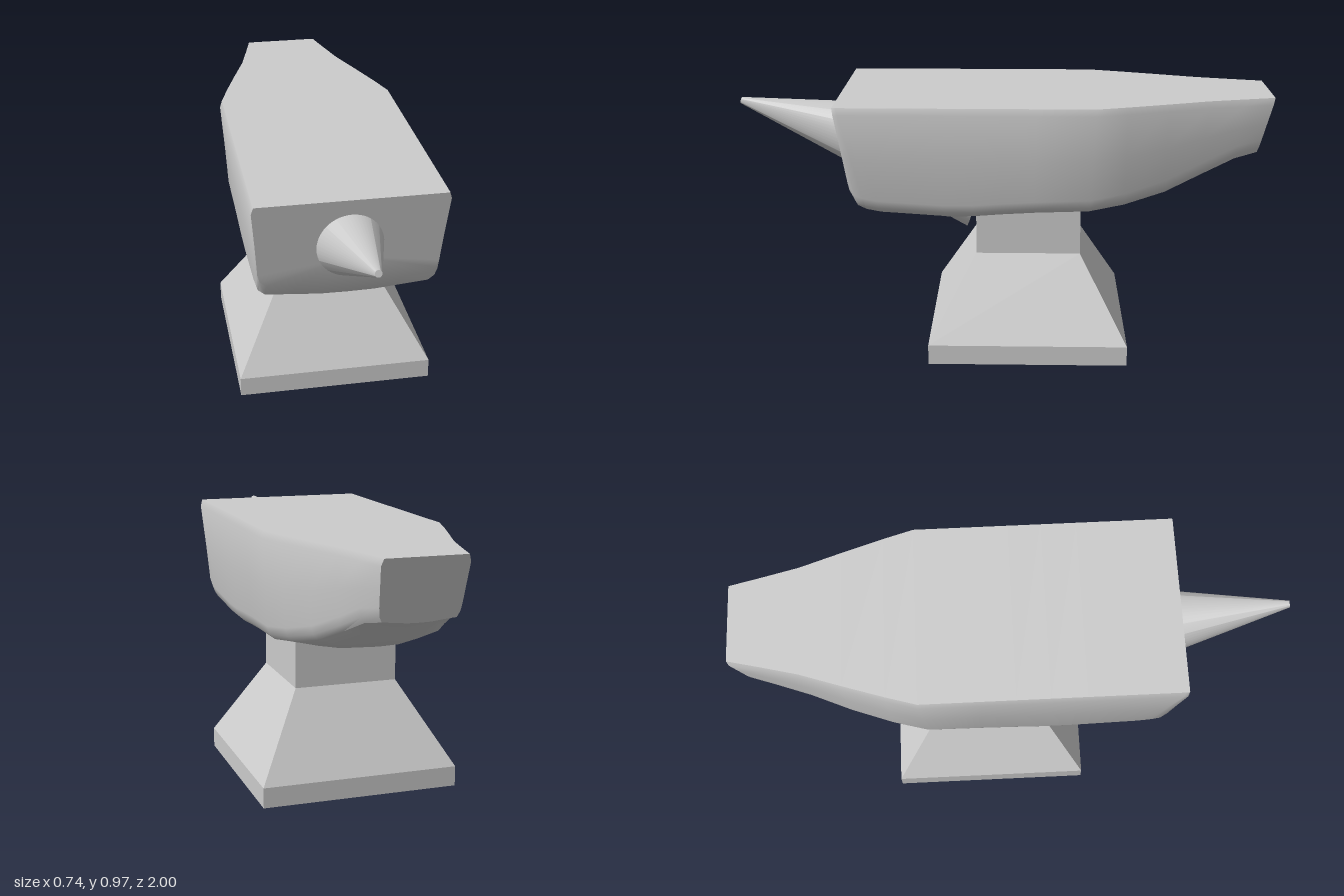
import * as THREE from 'three';
import { toCreasedNormals } from 'three/addons/utils/BufferGeometryUtils.js';

const steel = new THREE.MeshStandardMaterial({ color: 0xcccccc });
steel.name = 'steel grey';

const CX = -0.01;   // body and horn sit slightly off centre
const TOP = 0.97;   // height of the flat working face

// Body cross-sections, front to back:
// [z at top, z at bottom, half width, bottom y, rise from middle to lower edge]
const stations = [
  [0.6, 0.545, 0.338, 0.625, 0.02],
  [0.597, 0.52, 0.34, 0.575, 0.025],
  [0.585, 0.485, 0.34, 0.555, 0.03],
  [0.55, 0.43, 0.34, 0.54, 0.035],
  [0.4, 0.32, 0.34, 0.523, 0.045],
  [0.25, 0.2, 0.34, 0.49, 0.07],
  [0.12, 0.1, 0.34, 0.495, 0.065],
  [0, 0, 0.34, 0.528, 0.04],
  [-0.12, -0.12, 0.34, 0.54, 0.035],
  [-0.34, -0.32, 0.34, 0.542, 0.04],
  [-0.45, -0.45, 0.308, 0.555, 0.045],
  [-0.6, -0.6, 0.26, 0.592, 0.045],
  [-0.75, -0.74, 0.21, 0.66, 0.035],
  [-0.88, -0.86, 0.178, 0.722, 0.025],
  [-1, -0.945, 0.15, 0.75, 0.015],
];

// One ring from the +x top edge, under the belly, to the -x top edge
function section([zTop, zBottom, w, yb, rise]) {
  const side = yb + rise;
  const half = [
    [w - 0.008, TOP], [w, TOP - 0.025], [w * 0.965, (TOP + side) / 2],
    [w * 0.94, side + 0.045], [w * 0.915, side + 0.015], [w * 0.85, side - 0.005],
    [w * 0.55, yb + rise * 0.4], [w * 0.28, yb + rise * 0.06],
  ];
  const ring = [...half, [0, yb], ...half.slice().reverse().map(([x, y]) => [-x, y])];
  return ring.map(([x, y]) =>
    [CX + x, y, THREE.MathUtils.lerp(zBottom, zTop, (y - yb) / (TOP - yb))]);
}

// Skin the rings and close both ends
function loft(rings) {
  const n = rings[0].length;
  const pos = rings.flat(2);
  const index = [];
  for (let i = 0; i < rings.length - 1; i++) {
    for (let j = 0; j < n; j++) {
      const k = (j + 1) % n;
      const a = i * n + j, b = i * n + k, c = a + n, d = b + n;
      index.push(a, b, c, b, d, c);
    }
  }
  const cap = (row, flip) => {
    const centre = pos.length / 3;
    for (let c = 0; c < 3; c++) pos.push(rings[row].reduce((s, p) => s + p[c], 0) / n);
    for (let j = 0; j < n; j++) {
      const a = row * n + j, b = row * n + (j + 1) % n;
      if (flip) index.push(centre, b, a);
      else index.push(centre, a, b);
    }
  };
  cap(0, true);
  cap(rings.length - 1, false);
  const g = new THREE.BufferGeometry();
  g.setAttribute('position', new THREE.Float32BufferAttribute(pos, 3));
  g.setIndex(index);
  return g;
}

export function createModel() {
  const group = new THREE.Group();
  group.name = 'anvil';
  const add = (name, geometry, crease = 0.6) => {
    const mesh = new THREE.Mesh(toCreasedNormals(geometry, crease), steel);
    mesh.name = name;
    group.add(mesh);
    return mesh;
  };

  // Main block with tapering heel
  add('body', loft(stations.map(section)), 0.65);

  // Horn: a long cone running through the block, its rim showing under the belly
  const tip = new THREE.Vector3(CX, 0.917, 0.997);
  const root = new THREE.Vector3(CX, 0.66, 0.076);
  const axis = tip.clone().sub(root);
  const horn = add('horn', new THREE.CylinderGeometry(0.012, 0.238, axis.length(), 48));
  horn.position.copy(root).addScaledVector(axis, 0.5);
  horn.quaternion.setFromUnitVectors(new THREE.Vector3(0, 1, 0), axis.normalize());

  // Square stand: [name, bottom y, top y, bottom half width, top half width]
  const blocks = [
    ['footPlate', 0, 0.075, 0.37, 0.37],
    ['taperedStand', 0.075, 0.38, 0.37, 0.195],
    ['neck', 0.38, 0.58, 0.195, 0.195],
  ];
  for (const [name, y0, y1, r0, r1] of blocks) {
    const g = new THREE.CylinderGeometry(r1 * Math.SQRT2, r0 * Math.SQRT2, y1 - y0, 4);
    g.rotateY(Math.PI / 4);
    add(name, g).position.set(0, (y0 + y1) / 2, -0.1);
  }
  return group;
}
